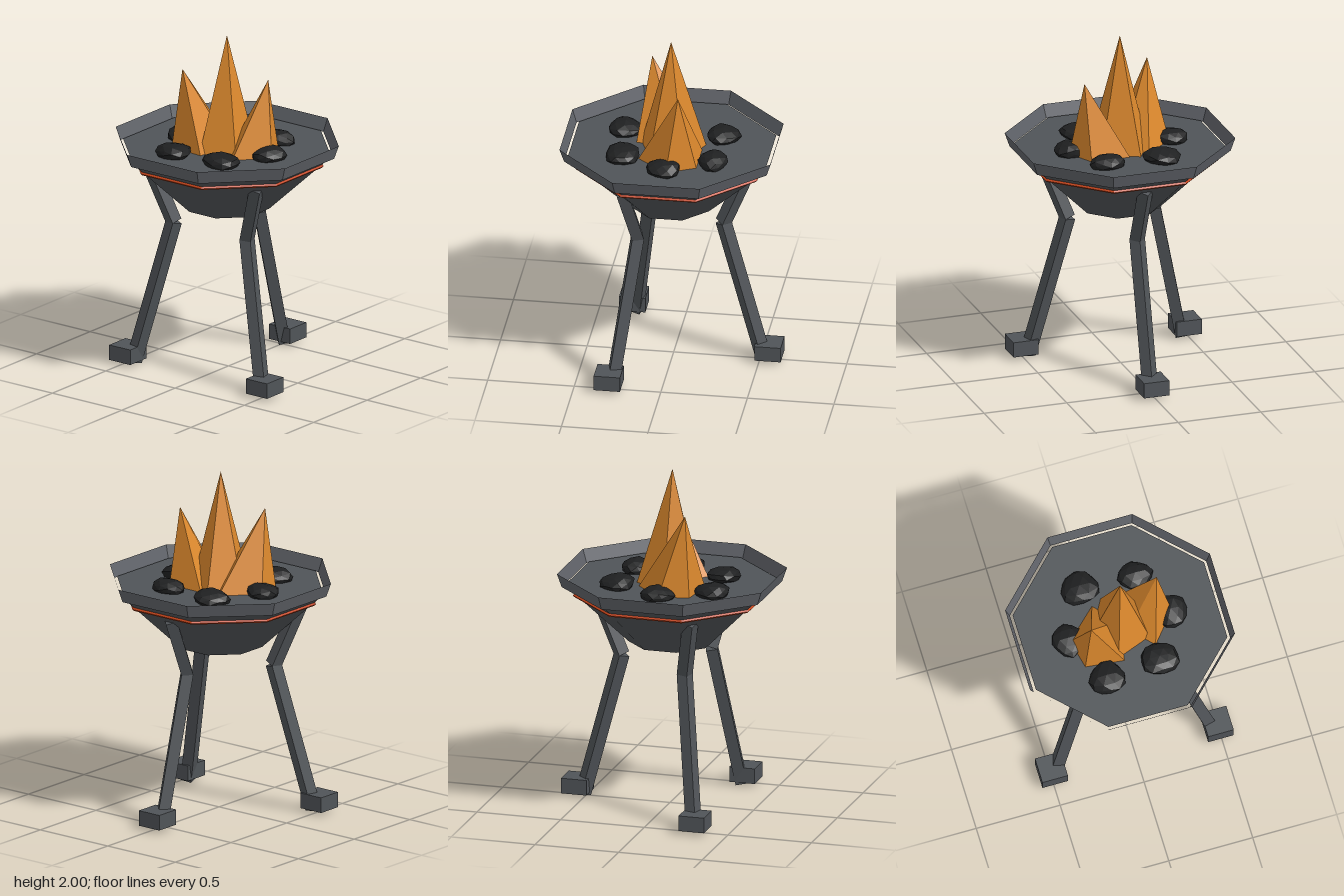
import * as THREE from 'three';

const mat = (name, color, extra = {}) =>
  new THREE.MeshStandardMaterial({ name, color, flatShading: true, ...extra });

export function createModel() {
  const model = new THREE.Group();
  model.name = 'fireBowl';
  const iron = mat('dark iron', 0x505458);
  const rimMetal = mat('rim steel', 0x606369, { side: THREE.DoubleSide });
  const glow = mat('glowing band', 0xc8461c);
  const coalMat = mat('coal', 0x1f2021);
  const fire = mat('flame orange', 0xdb882d);

  const add = (name, geometry, material, parent = model) => {
    const mesh = new THREE.Mesh(geometry, material);
    mesh.name = name;
    parent.add(mesh);
    return mesh;
  };

  // Octagonal frustum given by its flat-to-centre distances
  const CZ = 0.012;
  const k = 1 / Math.cos(Math.PI / 8);
  const octagon = (top, bottom, y0, y1, open) =>
    new THREE.CylinderGeometry(top * k, bottom * k, y1 - y0, 8, 1, open)
      .rotateY(Math.PI / 8).translate(0, (y0 + y1) / 2, CZ);

  // Bowl, floating rim band and glowing ring
  add('bowl', octagon(0.57, 0.23, 0.975, 1.32, false), iron);
  add('rim', octagon(0.61, 0.585, 1.31, 1.388, true), rimMetal);
  add('glowRing', new THREE.TorusGeometry(0.56, 0.01, 4, 8)
    .rotateX(Math.PI / 2).rotateY(Math.PI / 8).translate(0, 1.258, CZ), glow);

  // Three bent legs with square feet
  const bar = (a, b) => {
    const dir = b.clone().sub(a);
    const g = new THREE.CylinderGeometry(0.047, 0.047, dir.length(), 4);
    g.rotateX(Math.atan2(dir.z, dir.y));
    const mid = a.clone().add(b).multiplyScalar(0.5);
    return g.translate(mid.x, mid.y, mid.z);
  };
  const footEnd = new THREE.Vector3(0, 0.013, 0.535);
  const knee = new THREE.Vector3(0, 0.865, 0.305);
  const shoulder = new THREE.Vector3(0, 1.215, 0.45);
  [['leftLeg', Math.PI / 3], ['rightLeg', -Math.PI / 3], ['backLeg', Math.PI]].forEach(([name, angle]) => {
    const leg = new THREE.Group();
    leg.name = name;
    leg.position.z = 0.017;
    leg.rotation.y = angle;
    add('lowerLeg', bar(footEnd, knee), iron, leg);
    add('upperLeg', bar(knee, shoulder), iron, leg);
    model.add(leg);
    const foot = add(name + 'Foot', new THREE.BoxGeometry(0.152, 0.09, 0.152), iron);
    foot.position.set(Math.sin(angle) * 0.57, 0.066, Math.cos(angle) * 0.57 + 0.017);
  });

  // Lumpy coals: centre x, z and half sizes x, z
  const coals = [
    [-0.16, -0.267, 0.115, 0.103], [0.168, -0.252, 0.108, 0.093], [0.3, 0.015, 0.095, 0.105],
    [0.16, 0.272, 0.12, 0.093], [-0.165, 0.3, 0.105, 0.11], [-0.31, 0.02, 0.1, 0.108],
  ];
  coals.forEach(([x, z, sx, sz], i) => {
    const g = new THREE.IcosahedronGeometry(1, 1);
    const p = g.attributes.position;
    const v = new THREE.Vector3();
    for (let j = 0; j < p.count; j++) {
      v.fromBufferAttribute(p, j);
      // Smooth position-based lumps keep shared corners together
      const n = Math.sin(v.x * 3.1 + i * 2.3) * Math.sin(v.y * 2.7 + i) + Math.sin(v.z * 3.7 + i * 1.7);
      v.multiplyScalar(0.97 + 0.08 * n);
      p.setXYZ(j, v.x, v.y, v.z);
    }
    g.scale(sx, 0.05, sz);
    add('coal' + (i + 1), g, coalMat).position.set(x, 1.34, z);
  });

  // Flames: an apex over a base outline of x, z points
  const flame = (name, [ax, ay, az], base) => {
    const y = 1.318;
    const pos = [];
    base.forEach(([x, z], i) => {
      const [nx, nz] = base[(i + 1) % base.length];
      pos.push(ax, ay, az, nx, y, nz, x, y, z);
    });
    const g = new THREE.BufferGeometry();
    g.setAttribute('position', new THREE.Float32BufferAttribute(pos, 3));
    g.computeVertexNormals();
    add(name, g, fire);
  };
  flame('centreFlame', [0, 2, 0.015],
    [[-0.06, -0.18], [0.14, -0.075], [0.145, 0.12], [-0.06, 0.195], [-0.165, 0.01]]);
  flame('rightFlame', [-0.213, 1.79, 0.155],
    [[-0.3, 0.02], [-0.12, -0.15], [0.0, -0.02], [-0.033, 0.22], [-0.26, 0.195]]);
  flame('leftFlame', [0.24, 1.76, -0.06],
    [[0.0, -0.165], [0.232, -0.165], [0.312, 0.0], [0.163, 0.18], [0.04, 0.05]]);

  return model;
}
